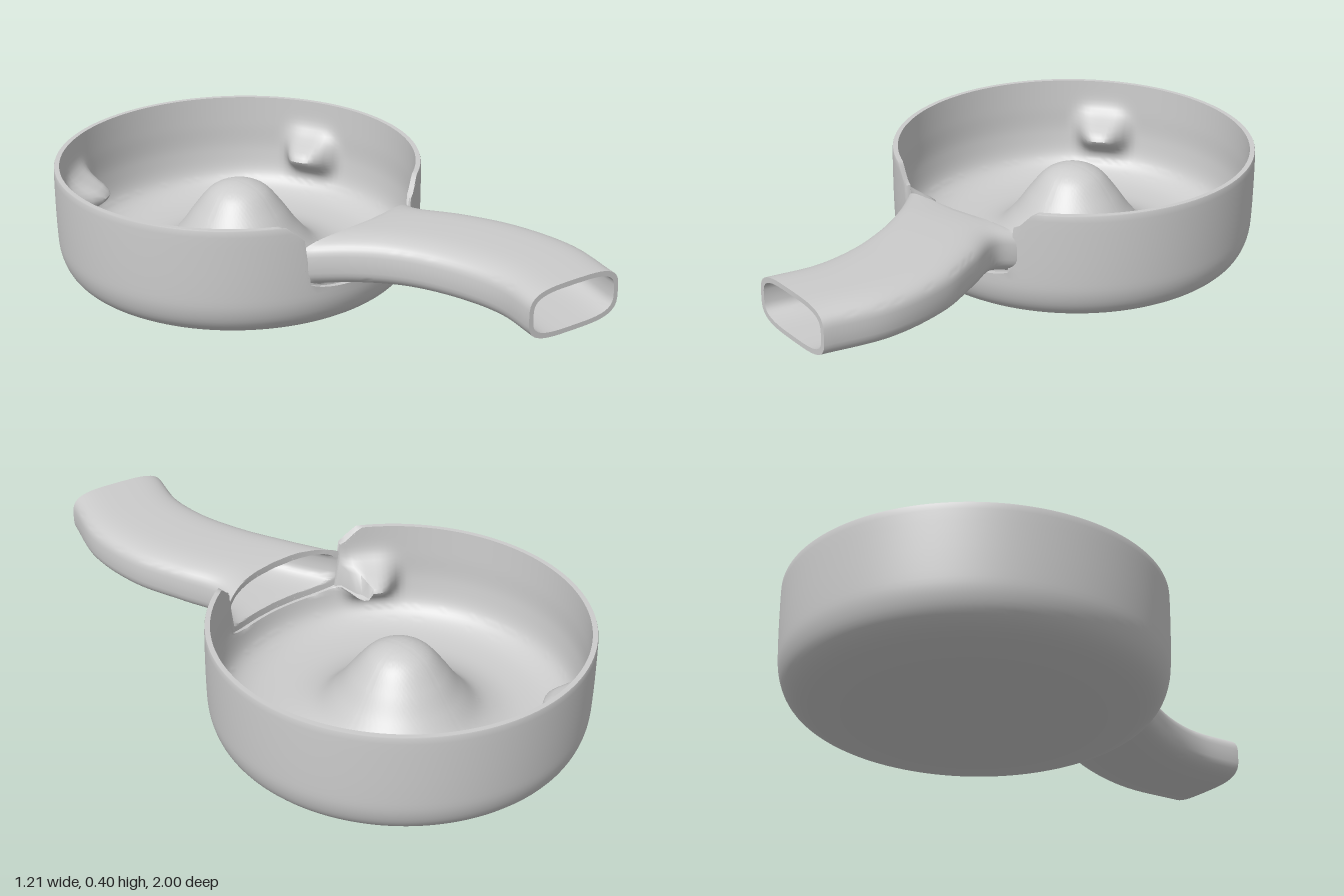
import * as THREE from 'three';
import { toCreasedNormals } from 'three/addons/utils/BufferGeometryUtils.js';

const material = new THREE.MeshStandardMaterial({ color: 0xcccccc, side: THREE.DoubleSide });
const BOWL_Z = -0.395;
const JOIN = { x: -0.075, y: 0.2575, halfWidth: 0.255, halfHeight: 0.0875 };
const POWER = 3.5; // roundness of the handle's section

const spline = (pts, n) =>
  new THREE.SplineCurve(pts.map(([x, y]) => new THREE.Vector2(x, y))).getPoints(n);

// Height of the wall's upper edge: full rim, a lowered lip, and the handle opening
function wallTop(x, z) {
  if (z < 0) return 0.4;
  const u = Math.abs(x - JOIN.x) / JOIN.halfWidth;
  if (u < 0.9) return JOIN.y - JOIN.halfHeight * Math.pow(1 - Math.pow(u, POWER), 1 / POWER);
  return THREE.MathUtils.mapLinear(THREE.MathUtils.clamp(u, 0.95, 1.15), 0.95, 1.15, 0.345, 0.4);
}

// Rounded bowl with a central hump and three ledges pushed out of the inner wall
function makeBowl() {
  const outer = [new THREE.Vector2(0, 0), ...spline(
    [[0.4, 0], [0.5, 0.015], [0.565, 0.05], [0.597, 0.11], [0.605, 0.2], [0.606, 0.385], [0.6, 0.4]], 28)];
  const inner = spline(
    [[0.588, 0.4], [0.585, 0.3], [0.582, 0.2], [0.56, 0.11], [0.5, 0.065], [0.41, 0.05], [0.33, 0.058],
      [0.26, 0.09], [0.2, 0.155], [0.15, 0.225], [0.1, 0.285], [0.05, 0.312], [0, 0.32]], 84);
  inner[inner.length - 1].x = 0;
  const profile = [...outer, ...inner];
  const geo = new THREE.LatheGeometry(profile, 192);
  const ledges = [[-0.18, -0.455], [0.5, -0.1], [-0.35, 0.395]].map(([x, z]) => Math.atan2(x, z));
  const pos = geo.attributes.position;

  for (let i = 0; i < pos.count; i++) {
    let x = pos.getX(i), z = pos.getZ(i);
    const y = Math.min(pos.getY(i), 0.4);
    const r = Math.hypot(x, z);
    if (i % profile.length >= outer.length && r > 0.45) {
      const phi = Math.atan2(x, z);
      let push = 0;
      for (const a of ledges) {
        const d = Math.atan2(Math.sin(phi - a), Math.cos(phi - a)) * 0.58;
        push += 0.12 * Math.exp(-Math.pow(d / 0.085, 4) - Math.pow((y - 0.215) / 0.055, 2));
      }
      x *= 1 - push / r;
      z *= 1 - push / r;
    }
    const top = r > 0.57 ? wallTop(x, z) : 0.4;
    pos.setXYZ(i, x, Math.max(0, Math.min(y, top)), z);
  }
  const mesh = new THREE.Mesh(toCreasedNormals(geo, 0.8), material);
  mesh.name = 'bowl';
  mesh.position.z = BOWL_Z;
  return mesh;
}

// Hollow curved handle: sections between a -x edge (bottom height) and a +x edge (top height)
function makeHandle() {
  const curve = (pts) => new THREE.CatmullRomCurve3(pts.map((p) => new THREE.Vector3(...p)));
  const edgeA = curve([[-0.33, 0.17, 0.09], [-0.25, 0.19, 0.25], [-0.2, 0.2, 0.4],
    [-0.18, 0.2, 0.58], [-0.2, 0.2, 0.74], [-0.27, 0.2, 0.89]]);
  const edgeB = curve([[0.18, 0.345, 0.17], [0.135, 0.36, 0.25], [0.165, 0.366, 0.4],
    [0.19, 0.366, 0.58], [0.16, 0.366, 0.8], [0.06, 0.366, 1.0]]);
  const STEPS = 36, SIDES = 48, WALL = 0.016;
  const verts = [], index = [];

  const addSection = (t, inset) => {
    const a = edgeA.getPoint(t), b = edgeB.getPoint(t);
    const mid = a.clone().lerp(b, 0.5), half = b.clone().sub(mid);
    const su = 1 - inset / Math.hypot(half.x, half.z), sv = 1 - inset / half.y;
    for (let j = 0; j < SIDES; j++) {
      const ang = (j / SIDES) * Math.PI * 2;
      const c = Math.cos(ang), s = Math.sin(ang);
      const u = Math.sign(c) * Math.pow(Math.abs(c), 2 / POWER) * su;
      const v = Math.sign(s) * Math.pow(Math.abs(s), 2 / POWER) * sv;
      const x = mid.x + half.x * u;
      // the root follows the curve of the bowl wall
      const z = Math.max(mid.z + half.z * u, BOWL_Z + Math.sqrt(0.59 ** 2 - x * x));
      verts.push(x, mid.y + half.y * v, z);
    }
  };
  for (let i = 0; i <= STEPS; i++) addSection(i / STEPS, 0);
  for (let i = STEPS; i >= 0; i--) addSection(i / STEPS, WALL);

  const rows = 2 * (STEPS + 1);
  for (let i = 0; i < rows; i++) {
    for (let j = 0; j < SIDES; j++) {
      const k = (j + 1) % SIDES, n = (i + 1) % rows;
      const a = i * SIDES + j, b = i * SIDES + k, c = n * SIDES + j, d = n * SIDES + k;
      index.push(a, b, c, b, d, c);
    }
  }
  const geo = new THREE.BufferGeometry();
  geo.setAttribute('position', new THREE.Float32BufferAttribute(verts, 3));
  geo.setIndex(index);
  const mesh = new THREE.Mesh(toCreasedNormals(geo, 0.8), material);
  mesh.name = 'handle';
  return mesh;
}

export function createModel() {
  const group = new THREE.Group();
  group.name = 'handledBowl';
  group.add(makeBowl(), makeHandle());
  return group;
}
